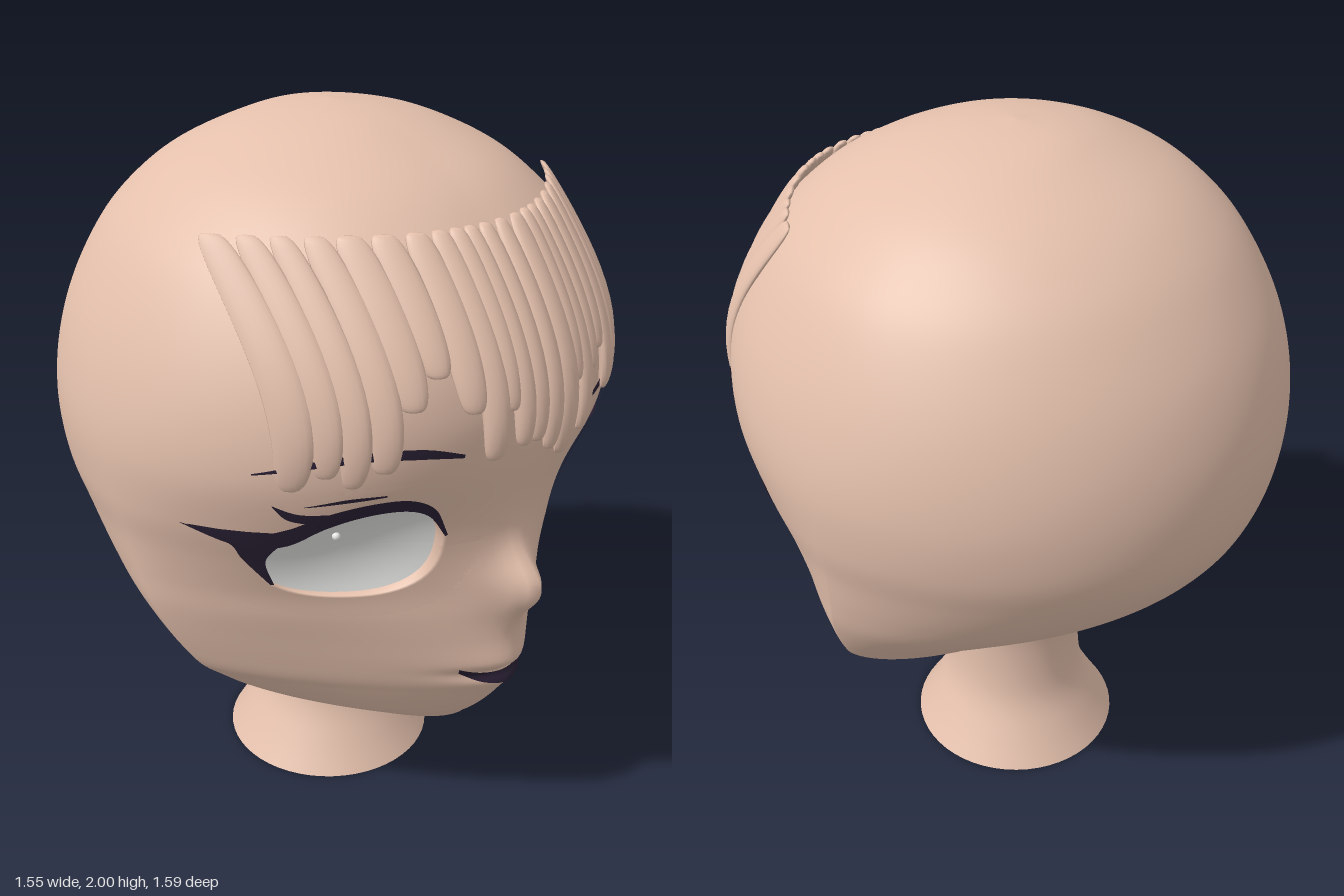
import * as THREE from 'three';

const mat = (name, color) => {
  const m = new THREE.MeshStandardMaterial({ color, side: THREE.DoubleSide });
  m.name = name;
  return m;
};

// Head cross-sections from crown to chin:
// y, half width, z of widest point, front z, back z, roundness of the front (1 = wedge, 2 = ellipse)
const SECTIONS = [
  [2, 0, -.03, -.03, -.03, 2], [1.985, .14, -.03, .12, -.18, 2], [1.95, .28, -.03, .25, -.29, 2],
  [1.88, .43, -.03, .41, -.44, 2], [1.8, .535, -.03, .52, -.55, 2], [1.7, .625, -.03, .61, -.64, 2],
  [1.55, .705, -.03, .69, -.73, 2], [1.4, .755, -.03, .725, -.78, 2], [1.25, .775, -.03, .72, -.797, 1.95],
  [1.1, .765, -.02, .70, -.785, 1.74], [.98, .74, 0, .695, -.75, 1.52], [.87, .72, .02, .695, -.685, 1.34],
  [.78, .70, .04, .70, -.605, 1.25], [.7, .67, .06, .705, -.495, 1.18], [.62, .63, .08, .703, -.37, 1.14],
  [.55, .585, .1, .685, -.28, 1.13], [.5, .53, .12, .66, -.2, 1.14], [.45, .465, .15, .63, -.12, 1.16],
  [.4, .37, .21, .59, 0, 1.22], [.365, .25, .3, .555, .12, 1.35], [.34, .12, .4, .525, .28, 1.6], [.333, 0, .45, .45, .45, 1.8],
];
const spline = (pick) => new THREE.CatmullRomCurve3(SECTIONS.map(pick), false, 'catmullrom', 0.5);
const curveA = spline(([y, w, c]) => new THREE.Vector3(y, w, c));
const curveB = spline(([, , , f, b, p]) => new THREE.Vector3(f, b, p));

function section(t) {
  const a = curveA.getPoint(t), b = curveB.getPoint(t);
  const low = 1 - THREE.MathUtils.smoothstep(a.x, .5, 1.15);
  return { y: a.x, w: Math.max(a.y, 0), c: a.z, f: b.x, b: b.y, pf: b.z, pb: 1.94 - .36 * low };
}

// Eye opening: centre and radii of a slightly squared ellipse
const EYE = { x: .39, y: 1.02, rx: .181, ry: .15 };
const eyeRadius = (u, v) => Math.pow(Math.pow(Math.abs(u), 2.35) + Math.pow(Math.abs(v), 2.35), 1 / 2.35);
const bell = (d, s) => Math.exp(-(d * d) / (s * s));

// Nose, mouth area and soft eye sockets
function relief(x, y) {
  const nose = (.055 * bell(x, .04) + .045 * bell(x, .1)) * bell(y - .875, y > .875 ? .085 : .1);
  const muzzle = .02 * bell(x, .13) * bell(y - .59, .08);
  const lips = -.03 * bell(x, .12) * bell(y - .582, .022);
  const sockets = -.03 * bell(Math.abs(x) - .3, .18) * bell(y - 1.02, .2);
  return nose + muzzle + lips + sockets;
}

// Front of one section at x, with the centre line softened
const SOFT = .08;
function frontZ(s, x) {
  const k0 = s.w > 0 ? Math.min(1, Math.abs(x) / s.w) : 1;
  const k = (Math.hypot(k0, SOFT) - SOFT) / (Math.hypot(1, SOFT) - SOFT);
  return s.c + (s.f - s.c) * Math.pow(Math.max(0, 1 - Math.pow(k, s.pf)), 1 / s.pf) + relief(x, s.y);
}

// Height of the face surface above any x, y
function faceZ(x, y) {
  let lo = 0, hi = 1;
  for (let i = 0; i < 30; i++) {
    const m = (lo + hi) / 2;
    if (curveA.getPoint(m).x > y) lo = m; else hi = m;
  }
  return frontZ(section(lo), x);
}

function gridGeometry(positions, rows, cols, wrap) {
  const index = [];
  for (let j = 0; j < rows - 1; j++) {
    for (let i = 0; i < (wrap ? cols : cols - 1); i++) {
      const n = (i + 1) % cols;
      const a = j * cols + i, c = j * cols + n, b = a + cols, d = c + cols;
      index.push(a, c, b, c, d, b);
    }
  }
  const g = new THREE.BufferGeometry();
  g.setAttribute('position', new THREE.Float32BufferAttribute(positions, 3));
  g.setIndex(index);
  g.computeVertexNormals();
  return g;
}

function headGeometry() {
  const rows = 190, cols = 180, pos = [];
  for (let j = 0; j < rows; j++) {
    const s = section(j / (rows - 1));
    for (let i = 0; i < cols; i++) {
      const a = (i / cols) * Math.PI * 2, ca = Math.cos(a), sa = Math.sin(a);
      if (sa >= 0) {
        // hollow behind each eye, hidden by the eyelid rim
        const x = s.w * ca;
        const r = eyeRadius((Math.abs(x) - EYE.x) / EYE.rx, (s.y - EYE.y) / EYE.ry);
        pos.push(x, s.y, frontZ(s, x) - .13 * (1 - THREE.MathUtils.smoothstep(r, 1.07, 1.27)));
      } else {
        const p = 2 / s.pb;
        pos.push(s.w * Math.sign(ca) * Math.pow(Math.abs(ca), p), s.y, s.c + (s.b - s.c) * Math.pow(-sa, p));
      }
    }
  }
  return gridGeometry(pos, rows, cols, true);
}

// Bend a flat ring around one eye; depth(r) gives [radius, z offset]
function eyeRing(side, inner, outer, steps, depth) {
  const g = new THREE.RingGeometry(inner, outer, 64, steps), p = g.attributes.position;
  for (let i = 0; i < p.count; i++) {
    const u = p.getX(i), v = p.getY(i), r0 = Math.hypot(u, v), e = eyeRadius(u, v) || 1;
    const [r, dz] = depth(r0);
    const x = side * EYE.x + (u / e) * r * EYE.rx;
    const y = EYE.y + (v / e) * r * EYE.ry;
    p.setXYZ(i, x, y, faceZ(x, y) + dz);
  }
  g.computeVertexNormals();
  return g;
}

// Thin painted strip lying on the face between two edge curves
function ribbon(edgeA, edgeB, side = 1, lift = .008) {
  const curve = (e) => new THREE.SplineCurve(e.map(([x, y]) => new THREE.Vector2(x, y)));
  const a = curve(edgeA), b = curve(edgeB), rows = 5, cols = 41, pos = [];
  for (let j = 0; j < rows; j++) {
    for (let i = 0; i < cols; i++) {
      const q = a.getPoint(i / (cols - 1)).lerp(b.getPoint(i / (cols - 1)), j / (rows - 1));
      pos.push(side * q.x, q.y, faceZ(q.x, q.y) + lift);
    }
  }
  const g = gridGeometry(pos, rows, cols, false);
  // edges run left to right, so flip the unmirrored side to face forward
  if (side > 0) { g.index.array.reverse(); g.computeVertexNormals(); }
  return g;
}

// Fringe surface: sweeps forward and down from the hairline
function fringeZ(x, y) {
  const top = .565 - 1.1 * x * x, bottom = .77 - .85 * x * x;
  return top + (bottom - top) * Math.sin(((1.8 - y) / .45) * Math.PI / 2);
}

function strandGeometry(x0, bottom, half) {
  const g = new THREE.SphereGeometry(1, 16, 24), p = g.attributes.position;
  for (let i = 0; i < p.count; i++) {
    const v = p.getY(i), r = Math.sqrt(Math.max(0, 1 - v * v)), k = r > 1e-5 ? Math.pow(r, -.55) : 0;
    const x = x0 + p.getX(i) * k * half;
    const y = (1.805 + bottom) / 2 + v * (1.805 - bottom) / 2;
    p.setXYZ(i, x, y, fringeZ(x, y) + p.getZ(i) * k * .024);
  }
  g.computeVertexNormals();
  return g;
}

// Strands of the fringe: x, lower end, half width
const STRANDS = [
  [-.57, 1.24, .037], [-.515, 1.28, .034], [-.463, 1.25, .033], [-.405, 1.29, .037], [-.345, 1.44, .042],
  [-.28, 1.51, .04], [-.212, 1.42, .04], [-.158, 1.29, .036], [-.115, 1.41, .032], [-.077, 1.31, .032],
  [-.033, 1.31, .033], [.02, 1.27, .034], [.08, 1.235, .042], [.125, 1.42, .034], [.165, 1.27, .036],
  [.215, 1.42, .036], [.275, 1.45, .04], [.345, 1.31, .044], [.405, 1.28, .034], [.45, 1.26, .034], [.508, 1.24, .041],
];

export function createModel() {
  const group = new THREE.Group();
  const skin = mat('skin', 0xe4c0ac);
  const dark = mat('dark plum', 0x2a2034);
  const white = mat('eye white', 0xe8e8e6);
  const add = (name, geometry, material) => {
    const m = new THREE.Mesh(geometry, material);
    m.name = name;
    group.add(m);
    return m;
  };

  add('head', headGeometry(), skin);

  // Neck, flared at the open base
  const profile = new THREE.SplineCurve([[.315, 0], [.27, .075], [.222, .17], [.203, .26], [.2, .38], [.212, .48], [.24, .56], [.28, .66]]
    .map(([r, y]) => new THREE.Vector2(r, y)));
  add('neck', new THREE.LatheGeometry(profile.getPoints(28), 56), skin).position.z = -.042;

  for (const side of [1, -1]) {
    const label = side > 0 ? 'left' : 'right';
    // Eyelid rim with a short inner wall, and the concave eye behind it
    add(label + 'EyeRim', eyeRing(side, .9, 1.6, 14, (r) =>
      r < .999 ? [1, -.5 * (1 - r)] : [r, .002 - .004 * (r - 1)]), skin);
    add(label + 'Eye', eyeRing(side, 0, 1.01, 8, (r) => [r, -.025 - .03 * (1 - r * r)]), white);
    const glint = add(label + 'EyeGlint', new THREE.SphereGeometry(.011, 10, 8), white);
    glint.position.set(side * .425, 1.065, faceZ(.425, 1.065) - .045);

    // Lashes, lid crease and brow
    add(label + 'UpperLash', ribbon(
      [[.205, 1.06], [.255, 1.15], [.33, 1.197], [.42, 1.2], [.5, 1.172], [.56, 1.12], [.62, 1.09], [.71, 1.1]],
      [[.21, 1.055], [.265, 1.13], [.335, 1.163], [.42, 1.16], [.49, 1.125], [.55, 1.06], [.62, 1.05], [.71, 1.1]], side), dark);
    add(label + 'OuterLash', ribbon(
      [[.535, 1.11], [.555, 1.07], [.565, 1.0], [.53, .91]],
      [[.7, 1.1], [.635, 1.055], [.602, 1.0], [.537, .91]], side), dark);
    add(label + 'LashFlick', ribbon(
      [[.49, 1.175], [.55, 1.175], [.6, 1.2]], [[.51, 1.14], [.565, 1.155], [.6, 1.2]], side), dark);
    add(label + 'LidCrease', ribbon(
      [[.39, 1.225], [.47, 1.222], [.545, 1.2]], [[.39, 1.22], [.47, 1.211], [.545, 1.198]], side), dark);
    add(label + 'Brow', ribbon(
      [[.22, 1.31], [.32, 1.343], [.43, 1.35], [.53, 1.332], [.635, 1.287]],
      [[.22, 1.3], [.32, 1.317], [.43, 1.326], [.53, 1.313], [.635, 1.283]], side), dark);
  }

  add('mouth', ribbon(
    [[-.135, .612], [-.07, .59], [0, .584], [.07, .59], [.135, .612]],
    [[-.13, .595], [-.075, .56], [0, .547], [.075, .56], [.13, .595]]), dark);

  for (const [x, bottom, half] of STRANDS) add('fringeStrand', strandGeometry(x, bottom, half), skin);

  return group;
}
